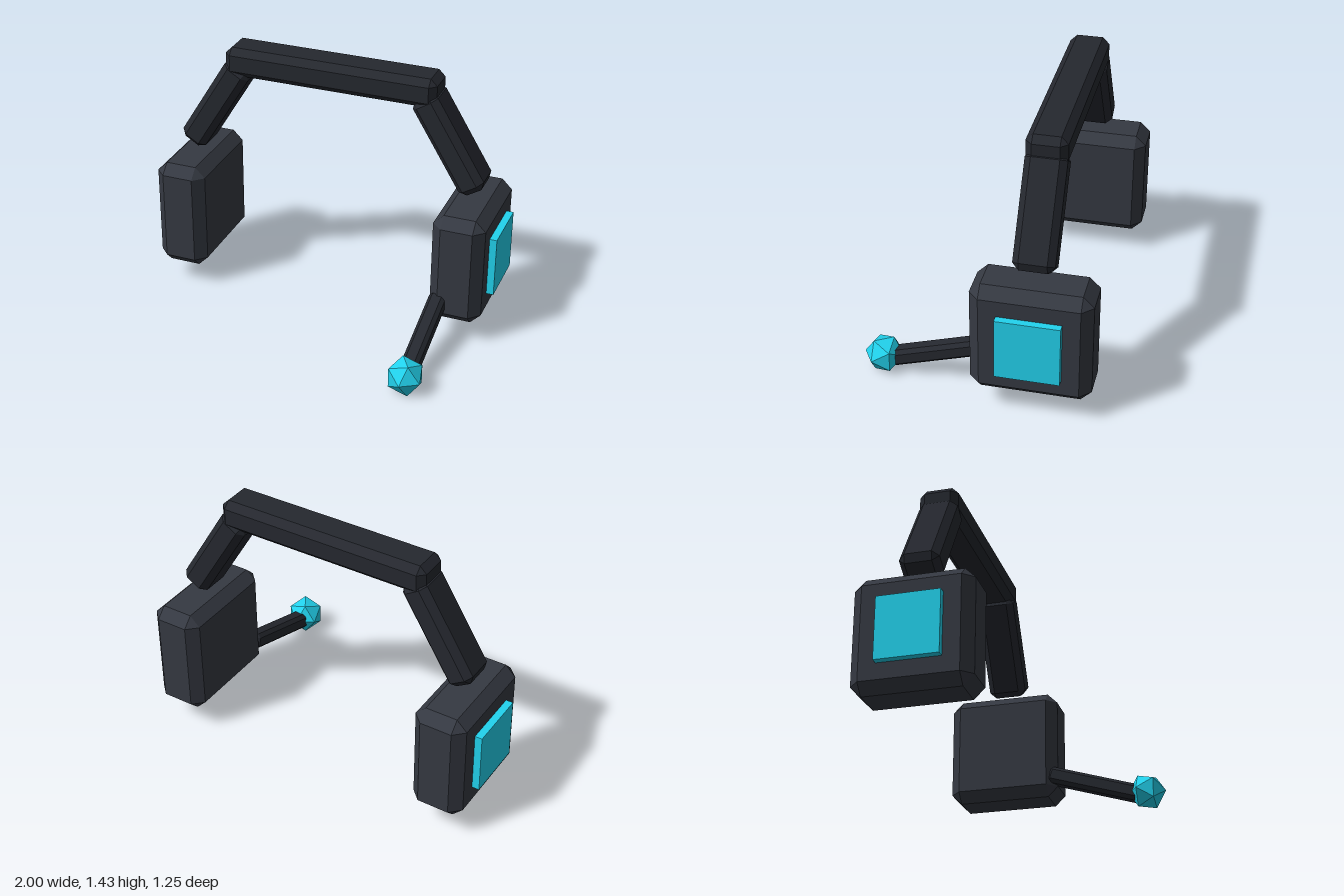
import * as THREE from 'three';
import { ConvexGeometry } from 'three/addons/geometries/ConvexGeometry.js';

const material = (color) => new THREE.MeshStandardMaterial({ color, flatShading: true });

// Box with every edge cut by a single flat bevel c
function bevelBox(w, h, d, c) {
  const points = [];
  for (const x of [-w / 2, w / 2])
    for (const y of [-h / 2, h / 2])
      for (const z of [-d / 2, d / 2]) {
        const ix = x - Math.sign(x) * c, iy = y - Math.sign(y) * c, iz = z - Math.sign(z) * c;
        points.push(
          new THREE.Vector3(x, iy, iz),
          new THREE.Vector3(ix, y, iz),
          new THREE.Vector3(ix, iy, z)
        );
      }
  return new ConvexGeometry(points);
}

export function createModel() {
  const model = new THREE.Group();
  const shell = material(0x353942);
  const frame = material(0x25282f);
  const accent = material(0x22d3ee);
  const midZ = -0.31;

  const add = (name, geometry, mat, x, y, z) => {
    const mesh = new THREE.Mesh(geometry, mat);
    mesh.name = name;
    mesh.position.set(x, y, z);
    model.add(mesh);
    return mesh;
  };

  // Headband: top bar and two slanted arms
  add('headbandTop', bevelBox(1.21, 0.165, 0.215, 0.037), frame, 0, 1.348, midZ);

  for (const [side, s] of [['left', 1], ['right', -1]]) {
    const arm = add(side + 'HeadbandArm', bevelBox(0.16, 0.59, 0.215, 0.035), frame, s * 0.68, 1.065, midZ);
    arm.rotation.z = s * 0.55;

    // Ear cup with its coloured outer plate
    add(side + 'EarCup', bevelBox(0.29, 0.63, 0.63, 0.057), shell, s * 0.815, 0.435, midZ);
    add(side + 'CupPlate', new THREE.BoxGeometry(0.08, 0.34, 0.335), accent, s * 0.96, 0.435, midZ);
  }

  // Microphone boom, sloping down and forward from the left cup
  const boom = add('microphoneBoom', bevelBox(0.094, 0.094, 0.55, 0.02), frame, 0.725, 0.164, 0.22);
  boom.rotation.x = 0.302;

  // Microphone tip with one corner facing forward
  const tip = new THREE.IcosahedronGeometry(0.106, 0);
  tip.rotateX(Math.atan(2 / (1 + Math.sqrt(5))));
  tip.rotateZ(Math.PI / 2);
  add('microphoneTip', tip, accent, 0.726, 0.095, 0.518);

  return model;
}
